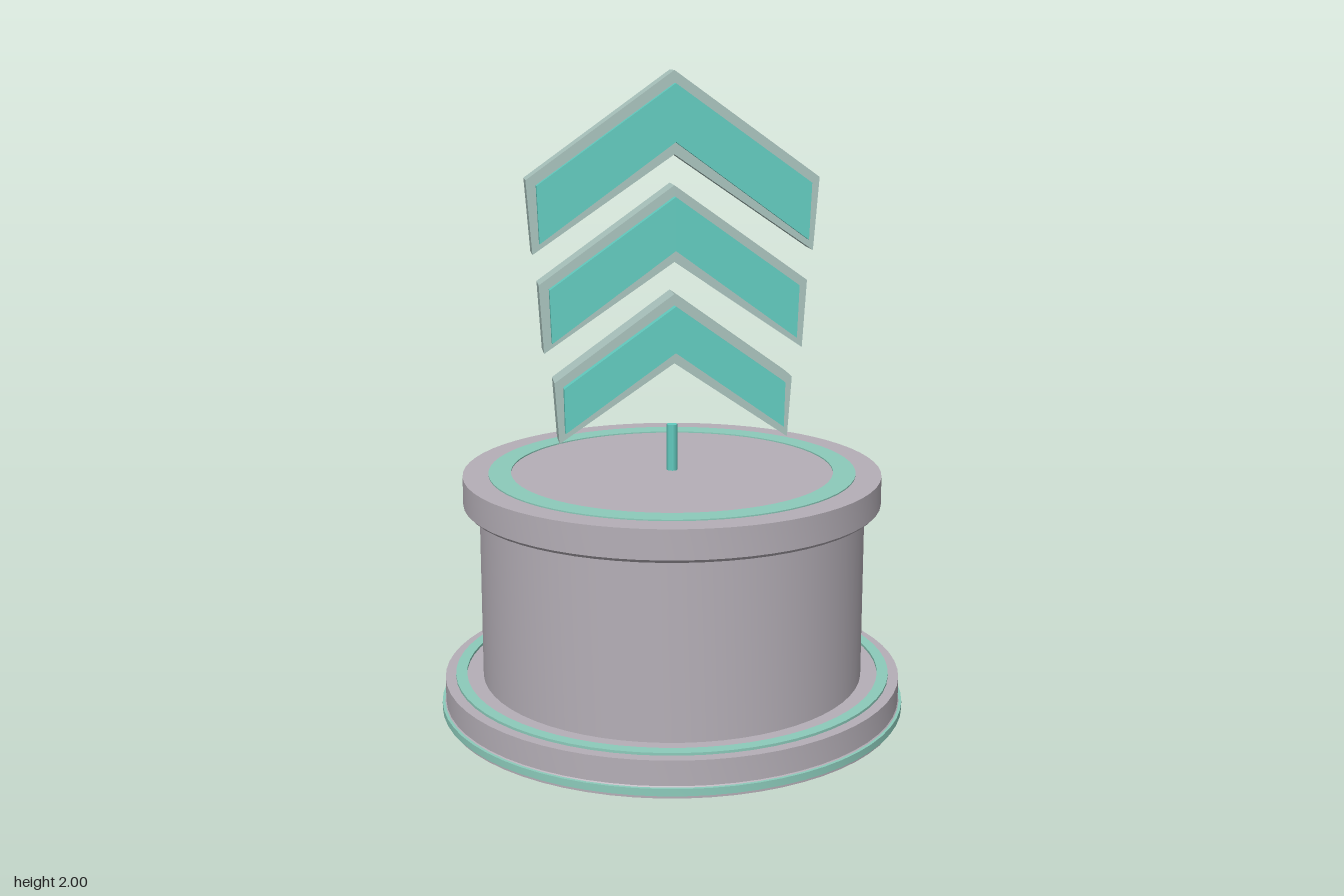
import * as THREE from 'three';
import { toCreasedNormals } from 'three/addons/utils/BufferGeometryUtils.js';

const mat = (name, color) => {
  const m = new THREE.MeshStandardMaterial({ color });
  m.name = name;
  return m;
};

export function createModel() {
  const stone = mat('warm grey', 0xb5afb7);
  const trim = mat('pale green trim', 0x8ccbbb);
  const frame = mat('grey green frame', 0xa9c3bd);
  const teal = mat('teal', 0x62ccc0);

  const model = new THREE.Group();
  const add = (name, geometry, material) => {
    const mesh = new THREE.Mesh(geometry, material);
    mesh.name = name;
    model.add(mesh);
    return mesh;
  };
  const turned = (points) => toCreasedNormals(
    new THREE.LatheGeometry(points.map(([r, y]) => new THREE.Vector2(r, y)), 64), 0.5);
  // Closed ring with a rectangular section
  const ring = (r0, r1, y0, y1) => turned([[r0, y0], [r1, y0], [r1, y1], [r0, y1], [r0, y0]]);

  // Pedestal: foot, drum and overhanging cap
  add('pedestal', turned([
    [0, 0], [0.73, 0], [0.73, 0.03], [0.725, 0.035], [0.725, 0.112],
    [0.605, 0.112], [0.605, 0.665], [0.645, 0.665], [0.655, 0.675],
    [0.655, 0.765], [0, 0.765],
  ]), stone);

  // Green inlays and the band around the foot
  add('footBand', ring(0.72, 0.737, 0.01, 0.032), trim);
  add('footRing', ring(0.657, 0.692, 0.1, 0.12), trim);
  add('capRing', ring(0.505, 0.575, 0.76, 0.769), trim);

  // Short post on the cap
  const post = add('post', new THREE.CylinderGeometry(0.017, 0.017, 0.15, 8), teal);
  post.position.y = 0.837;

  // Mirrored chevron plate: apex, outer corner, lower corner, inner apex
  const chevron = (top, [ox, oy], [lx, ly], inner, depth) => {
    const shape = new THREE.Shape([
      [0, top], [-ox, oy], [-lx, ly], [0, inner], [lx, ly], [ox, oy],
    ].map(([x, y]) => new THREE.Vector2(x, y)));
    return new THREE.ExtrudeGeometry(shape, { depth, bevelEnabled: false })
      .translate(0, 0, -depth / 2);
  };

  // Each floating chevron is a frame with a thicker core
  const chevrons = [
    ['lower', [1.33, [0.37, 1.063], [0.357, 0.872], 1.115], [1.295, [0.343, 1.05], [0.34, 0.91], 1.152]],
    ['middle', [1.66, [0.413, 1.365], [0.4, 1.155], 1.428], [1.627, [0.383, 1.353], [0.377, 1.19], 1.465]],
    ['upper', [2, [0.447, 1.68], [0.43, 1.457], 1.752], [1.962, [0.417, 1.665], [0.41, 1.492], 1.79]],
  ];
  for (const [name, outer, core] of chevrons) {
    add(`${name}ChevronFrame`, chevron(...outer, 0.1), frame);
    add(`${name}ChevronCore`, chevron(...core, 0.162), teal);
  }
  return model;
}
